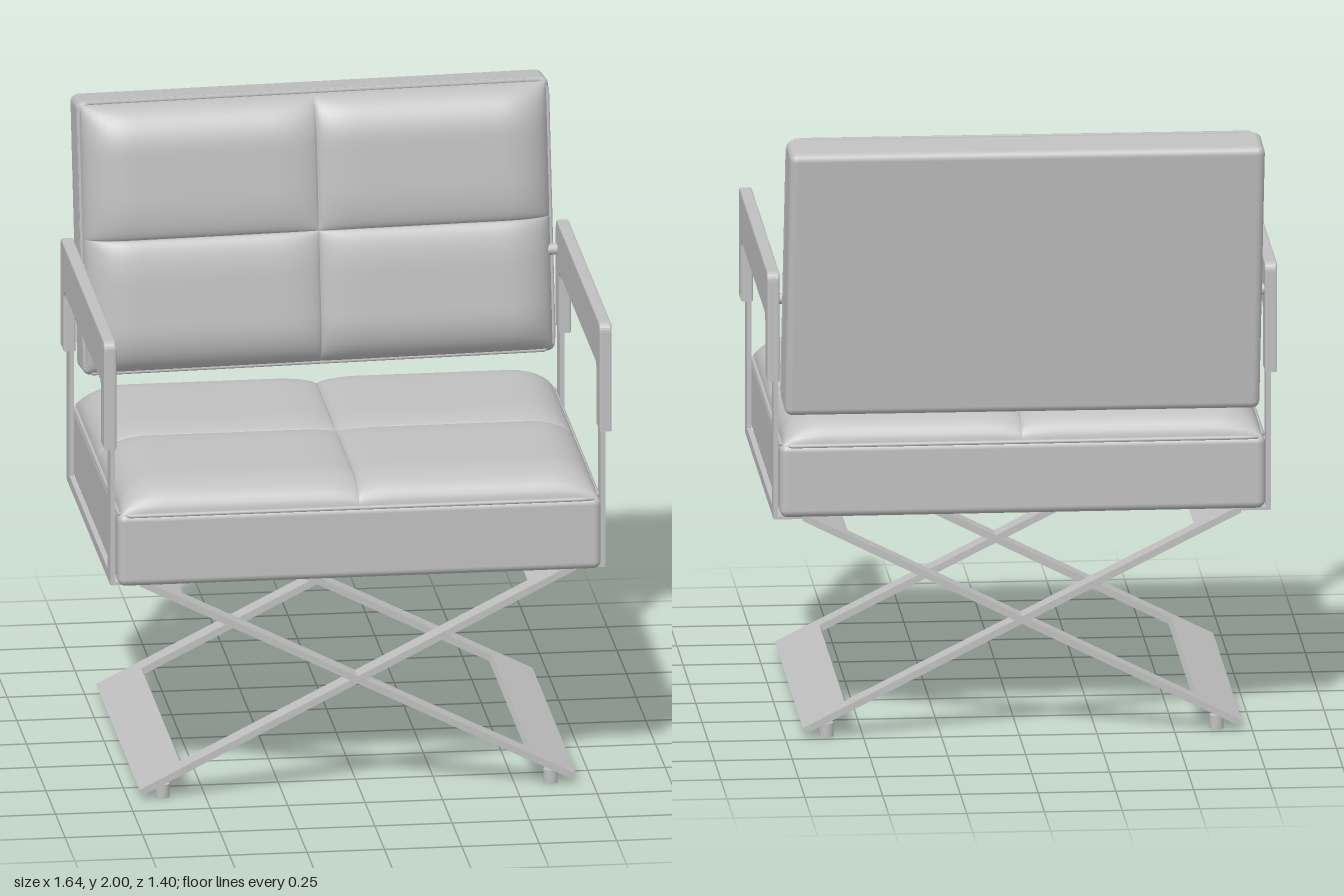
import * as THREE from 'three';
import { RoundedBoxGeometry } from 'three/addons/geometries/RoundedBoxGeometry.js';

const grey = new THREE.MeshStandardMaterial({ color: 0xbfbfbf });
grey.name = 'grey';

function add(parent, name, geometry, x = 0, y = 0, z = 0) {
  const mesh = new THREE.Mesh(geometry, grey);
  mesh.name = name;
  mesh.position.set(x, y, z);
  parent.add(mesh);
  return mesh;
}

// Quarter-round rise from 0 to 1 over the distance r
function rise(d, r) {
  const t = 1 - Math.min(Math.max(d / r, 0), 1);
  return Math.sqrt(Math.max(0, 1 - t * t));
}

// Grid lines crowd at the outer edges and at the middle seam
function spread(s, half) {
  const t = Math.abs(s);
  return Math.sign(s) * half * (1 - Math.cos(Math.PI * t)) / 2;
}

// Four soft pads divided by a cross of narrow seams, facing +z
function tuftedGeometry(w, h, height, seamDepth) {
  const geo = new THREE.PlaneGeometry(2, 2, 56, 56);
  const p = geo.attributes.position;
  for (let i = 0; i < p.count; i++) {
    const x = spread(p.getX(i), w / 2);
    const y = spread(p.getY(i), h / 2);
    const edge = rise(w / 2 - Math.abs(x), 0.15) * rise(h / 2 - Math.abs(y), 0.15);
    const seam = rise(Math.abs(x), 0.14) * rise(Math.abs(y), 0.14);
    p.setXYZ(i, x, y, edge * (height - seamDepth * (1 - seam)));
  }
  geo.computeVertexNormals();
  return geo;
}

// Thin welt following a rounded rectangle
function pipingGeometry(w, h, r) {
  const a = w / 2 - r, b = h / 2 - r, points = [];
  const corners = [[a, b], [-a, b], [-a, -b], [a, -b]];
  corners.forEach(([cx, cy], k) => {
    for (let j = 0; j <= 3; j++) {
      const t = (k + j / 3) * Math.PI / 2;
      points.push(new THREE.Vector3(cx + r * Math.cos(t), cy + r * Math.sin(t), 0));
    }
  });
  const path = new THREE.CurvePath();
  points.forEach((q, i) => path.add(new THREE.LineCurve3(q, points[(i + 1) % points.length])));
  return new THREE.TubeGeometry(path, 120, 0.007, 6, true);
}

// Boxed cushion whose tufted face looks along +z from z = 0
function cushion(name, w, h, depth, puff, seamDepth) {
  const group = new THREE.Group();
  group.name = name;
  add(group, name + 'Box', new RoundedBoxGeometry(w, h, depth, 4, 0.025), 0, 0, -depth / 2);
  add(group, name + 'Tufting', tuftedGeometry(w - 0.02, h - 0.02, puff, seamDepth), 0, 0, -0.004);
  add(group, name + 'Piping', pipingGeometry(w - 0.012, h - 0.012, 0.03), 0, 0, -0.005);
  return group;
}

function polygon(points) {
  return points.map(([x, y]) => new THREE.Vector2(x, y));
}

// Rectangular loop of flat bar, lying level
function loopGeometry(length, width, endBar, sideBar, thick) {
  const a = length / 2, b = width / 2, c = a - endBar, d = b - sideBar;
  const shape = new THREE.Shape(polygon([[-a, -b], [a, -b], [a, b], [-a, b]]));
  shape.holes.push(new THREE.Path(polygon([[-c, -d], [-c, d], [c, d], [c, -d]])));
  const geo = new THREE.ExtrudeGeometry(shape, { depth: thick, bevelEnabled: false });
  geo.translate(0, 0, -thick / 2);
  geo.rotateX(-Math.PI / 2);
  return geo;
}

// Upside-down U pad with rounded corners; u runs towards the rear
function armPadGeometry() {
  const b = 0.006, o = 0.57 - b, i = 0.484 + b;
  const top = 1.545 - b, under = 1.385 + b, low = 1.183 + b;
  const s = new THREE.Shape();
  s.moveTo(-o, low);
  s.lineTo(-i, low);
  s.lineTo(-i, under - 0.03);
  s.quadraticCurveTo(-i, under, -i + 0.03, under);
  s.lineTo(i - 0.03, under);
  s.quadraticCurveTo(i, under, i, under - 0.03);
  s.lineTo(i, low);
  s.lineTo(o, low);
  s.lineTo(o, top - 0.025);
  s.quadraticCurveTo(o, top, o - 0.025, top);
  s.lineTo(-o + 0.025, top);
  s.quadraticCurveTo(-o, top, -o, top - 0.025);
  const geo = new THREE.ExtrudeGeometry(s, {
    depth: 0.028, bevelThickness: b, bevelSize: b, bevelSegments: 2, curveSegments: 6,
  });
  geo.translate(0, 0, -0.014);
  geo.rotateY(Math.PI / 2);
  return geo;
}

export function createModel() {
  const model = new THREE.Group();
  model.name = 'armchair';
  const chair = new THREE.Group();
  chair.name = 'chair';
  chair.position.x = -0.01;
  model.add(chair);
  const midZ = 0.075;

  // Seat cushion, tufted face up
  const seat = cushion('seat', 1.56, 1.215, 0.242, 0.097, 0.028);
  seat.rotation.x = -Math.PI / 2;
  seat.position.set(0, 0.978, 0.09);
  chair.add(seat);

  // Back cushion, leaning back and slightly askew
  const back = cushion('back', 1.53, 0.895, 0.165, 0.105, 0.035);
  back.rotation.set(-0.115, 0.021, 0.009, 'YXZ');
  back.position.set(0.005, 1.55, -0.475);
  chair.add(back);

  // Crossed base loops
  const halfX = 0.7, halfY = 0.352;
  const loop = loopGeometry(2 * Math.hypot(halfX, halfY), 1.13, 0.155, 0.07, 0.022);
  for (const side of [1, -1]) {
    const leg = add(chair, side > 0 ? 'crossLegA' : 'crossLegB', loop, 0, 0.378, midZ);
    leg.rotation.z = side * Math.atan2(halfY, halfX);
  }

  const padGeo = armPadGeometry();
  for (const side of [1, -1]) {
    const arm = new THREE.Group();
    arm.name = side > 0 ? 'leftArm' : 'rightArm';
    chair.add(arm);

    // Arm posts, side rail and the ledge joining the base
    for (const z of [0.605, -0.455]) {
      add(arm, 'armPost', new THREE.BoxGeometry(0.015, 0.6, 0.07), side * 0.792, 1.03, z);
    }
    add(arm, 'sideRail', new THREE.BoxGeometry(0.015, 0.03, 1.13), side * 0.792, 0.747, midZ);
    add(arm, 'ledge', new THREE.BoxGeometry(0.12, 0.01, 1.13), side * 0.739, 0.732, midZ);
    add(arm, 'armPad', padGeo, side * 0.8, 0, midZ);

    // Pivot holding the back
    const pivot = add(arm, 'backPivot', new THREE.CylinderGeometry(0.018, 0.018, 0.06, 16), side * 0.765, 1.45, -0.46);
    pivot.rotation.z = Math.PI / 2;

    // Feet
    for (const z of [0.605, -0.455]) {
      add(arm, 'foot', new THREE.CylinderGeometry(0.023, 0.023, 0.045, 16), side * 0.627, 0.0225, z);
    }
  }
  return model;
}
